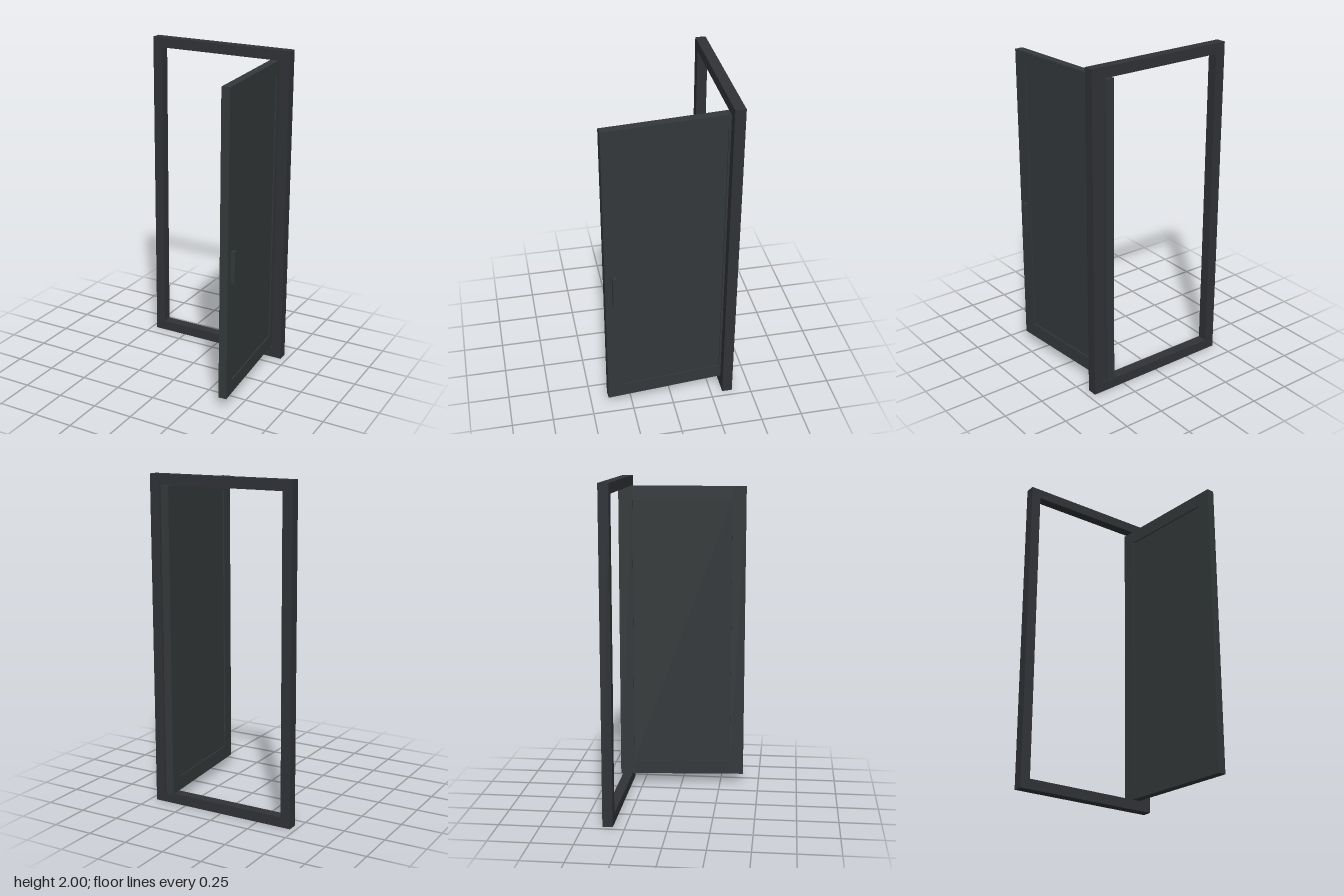
import * as THREE from 'three';

const frameMaterial = new THREE.MeshStandardMaterial({ color: 0x303236 });
const doorMaterial = new THREE.MeshStandardMaterial({ color: 0x33383a });

function addBox(parent, name, material, [w, h, d], [x, y, z]) {
  const mesh = new THREE.Mesh(new THREE.BoxGeometry(w, h, d), material);
  mesh.name = name;
  mesh.position.set(x, y, z);
  parent.add(mesh);
}

export function createModel() {
  const model = new THREE.Group();
  model.name = 'openDoor';

  // Fixed frame: two full-height posts with rails between them
  const frame = new THREE.Group();
  frame.name = 'doorFrame';
  frame.position.set(-0.003, 1, -0.354);
  const width = 0.928, height = 2, bar = 0.062;
  for (const s of [-1, 1]) {
    addBox(frame, s > 0 ? 'leftPost' : 'rightPost', frameMaterial,
      [bar, height, bar], [s * (width - bar) / 2, 0, 0]);
    addBox(frame, s > 0 ? 'topRail' : 'bottomRail', frameMaterial,
      [width - 2 * bar, bar, bar], [0, s * (height - bar) / 2, 0]);
  }
  model.add(frame);

  // Door leaf, swung open: its width runs along local z
  const leaf = new THREE.Group();
  leaf.name = 'doorLeaf';
  leaf.position.set(0.386, 1, -0.001);
  leaf.rotation.y = THREE.MathUtils.degToRad(4.8);
  const leafW = 0.801, leafH = 1.873, leafT = 0.05, border = 0.087;
  for (const s of [-1, 1]) {
    addBox(leaf, s > 0 ? 'handleStile' : 'hingeStile', doorMaterial,
      [leafT, leafH, border], [0, 0, s * (leafW - border) / 2]);
    addBox(leaf, s > 0 ? 'leafTopRail' : 'leafBottomRail', doorMaterial,
      [leafT, border, leafW - 2 * border], [0, s * (leafH - border) / 2, 0]);
  }

  // Slightly recessed infill panel
  addBox(leaf, 'panel', doorMaterial,
    [0.034, leafH - 2 * border, leafW - 2 * border], [0, 0, 0]);

  // Pull handle on the outer face
  addBox(leaf, 'handle', doorMaterial, [0.026, 0.194, 0.025], [0.037, -0.111, 0.347]);
  model.add(leaf);

  return model;
}
